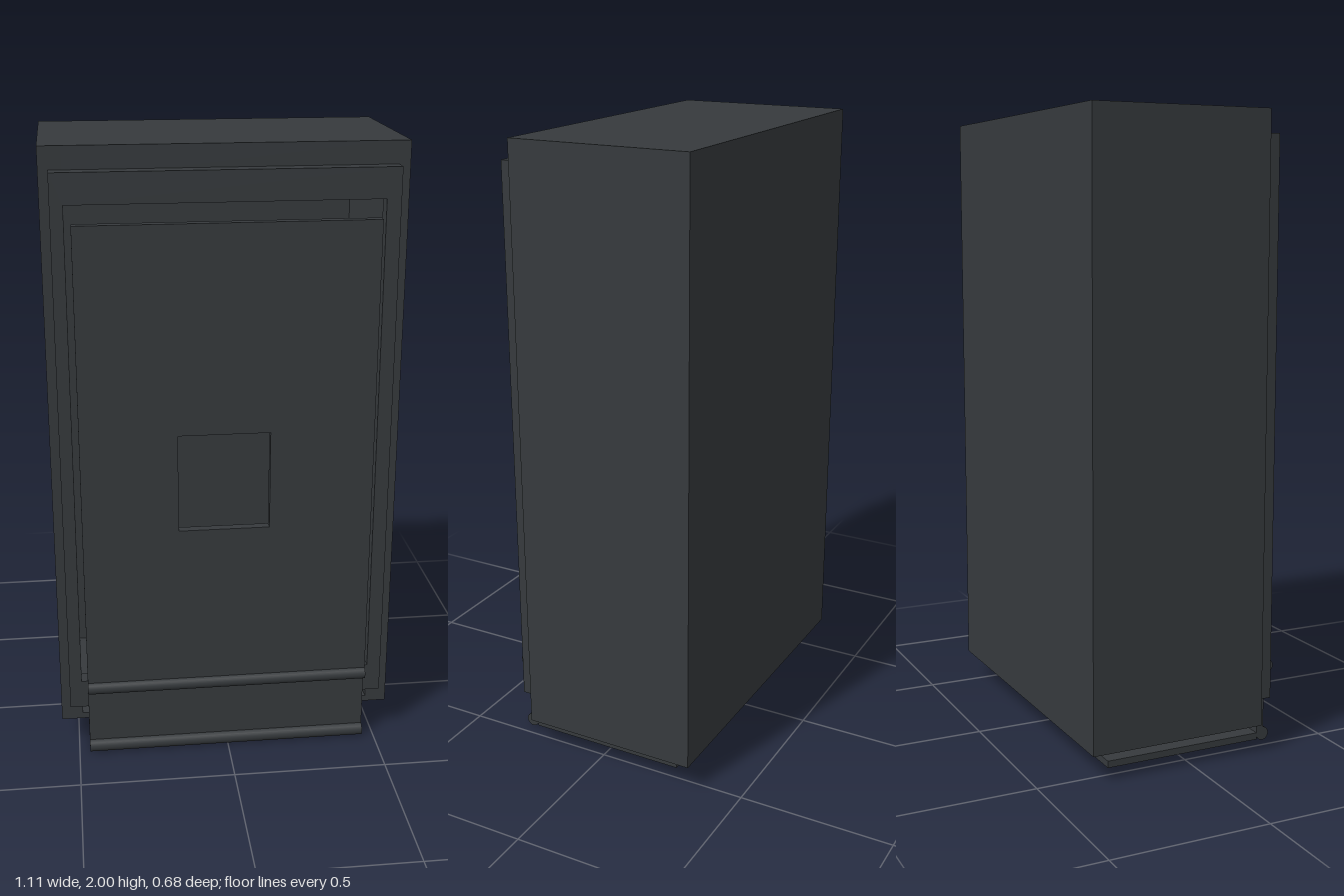
import * as THREE from 'three';

const dark = new THREE.MeshStandardMaterial({ color: 0x363a3d });
const grey = new THREE.MeshStandardMaterial({ color: 0x777777 });

// Box given by its lower and upper limits on each axis
function box(name, [x0, x1], [y0, y1], [z0, z1], material = dark) {
  const mesh = new THREE.Mesh(new THREE.BoxGeometry(x1 - x0, y1 - y0, z1 - z0), material);
  mesh.position.set((x0 + x1) / 2, (y0 + y1) / 2, (z0 + z1) / 2);
  mesh.name = name;
  return mesh;
}

function rect(Type, [x0, x1], [y0, y1]) {
  const r = new Type();
  r.moveTo(x0, y0).lineTo(x1, y0).lineTo(x1, y1).lineTo(x0, y1).closePath();
  return r;
}

// Upright panel with a rectangular opening
function panel(name, outerX, outerY, holeX, holeY, z0, z1) {
  const shape = rect(THREE.Shape, outerX, outerY);
  shape.holes.push(rect(THREE.Path, holeX, holeY));
  const geometry = new THREE.ExtrudeGeometry(shape, { depth: z1 - z0, bevelEnabled: false });
  const mesh = new THREE.Mesh(geometry, dark);
  mesh.position.z = z0;
  mesh.name = name;
  return mesh;
}

function hinge(name, y, z, r) {
  const mesh = new THREE.Mesh(new THREE.CylinderGeometry(r, r, 0.925, 24).rotateZ(Math.PI / 2), dark);
  mesh.position.set(-0.0025, y, z);
  mesh.name = name;
  return mesh;
}

export function createModel() {
  const model = new THREE.Group();
  const doorX = [-0.465, 0.46];

  // Hollow cabinet, open at the front and underneath
  const cabinet = new THREE.Group();
  cabinet.name = 'cabinet';
  cabinet.add(
    box('backWall', [-0.555, 0.555], [0.09, 2], [-0.34, -0.275]),
    box('rightWall', [-0.555, -0.485], [0.09, 2], [-0.275, 0.245]),
    box('leftWall', [0.485, 0.555], [0.09, 2], [-0.275, 0.245]),
    box('roof', [-0.485, 0.485], [1.9, 2], [-0.275, 0.245]),
    box('rightFloorLip', [-0.485, -0.43], [0.09, 0.11], [-0.275, 0.245]),
    box('leftFloorLip', [0.43, 0.485], [0.09, 0.11], [-0.275, 0.245]),
    box('frontFloorLip', [-0.43, 0.43], [0.09, 0.26], [0.225, 0.245]),
    box('backPlate', [-0.07, 0.065], [0.985, 1.07], [-0.275, -0.265])
  );

  // Raised frame around the door opening
  const frame = panel('doorFrame', [-0.525, 0.52], [0.165, 1.93], [-0.485, 0.475], [0.26, 1.835], 0.245, 0.295);

  // Door with a window, and a small catch behind it
  const door = panel('door', doorX, [0.25, 1.78], [-0.16, 0.13], [0.8, 1.12], 0.295, 0.325);
  const catchPlate = box('doorCatch', [-0.27, -0.18], [0.42, 0.53], [0.28, 0.295], grey);

  // Folding flap and shelf below the door
  const flap = box('flap', doorX, [0.025, 0.25], [0.284, 0.308]);
  const outline = new THREE.Shape();
  [[-0.465, -0.285], [0.46, -0.285], [0.46, 0.25], [0.065, 0.25], [0.065, 0.18],
    [-0.07, 0.18], [-0.07, 0.25], [-0.465, 0.25]]
    .forEach(([x, y], i) => (i ? outline.lineTo(x, y) : outline.moveTo(x, y)));
  const shelf = new THREE.Mesh(
    new THREE.ExtrudeGeometry(outline, { depth: 0.022, bevelEnabled: false }).rotateX(-Math.PI / 2), dark);
  shelf.position.y = 0.005;
  shelf.name = 'notchedShelf';

  model.add(cabinet, frame, door, catchPlate, flap, shelf,
    hinge('upperHinge', 0.248, 0.32, 0.021), hinge('lowerHinge', 0.022, 0.305, 0.022));
  return model;
}
